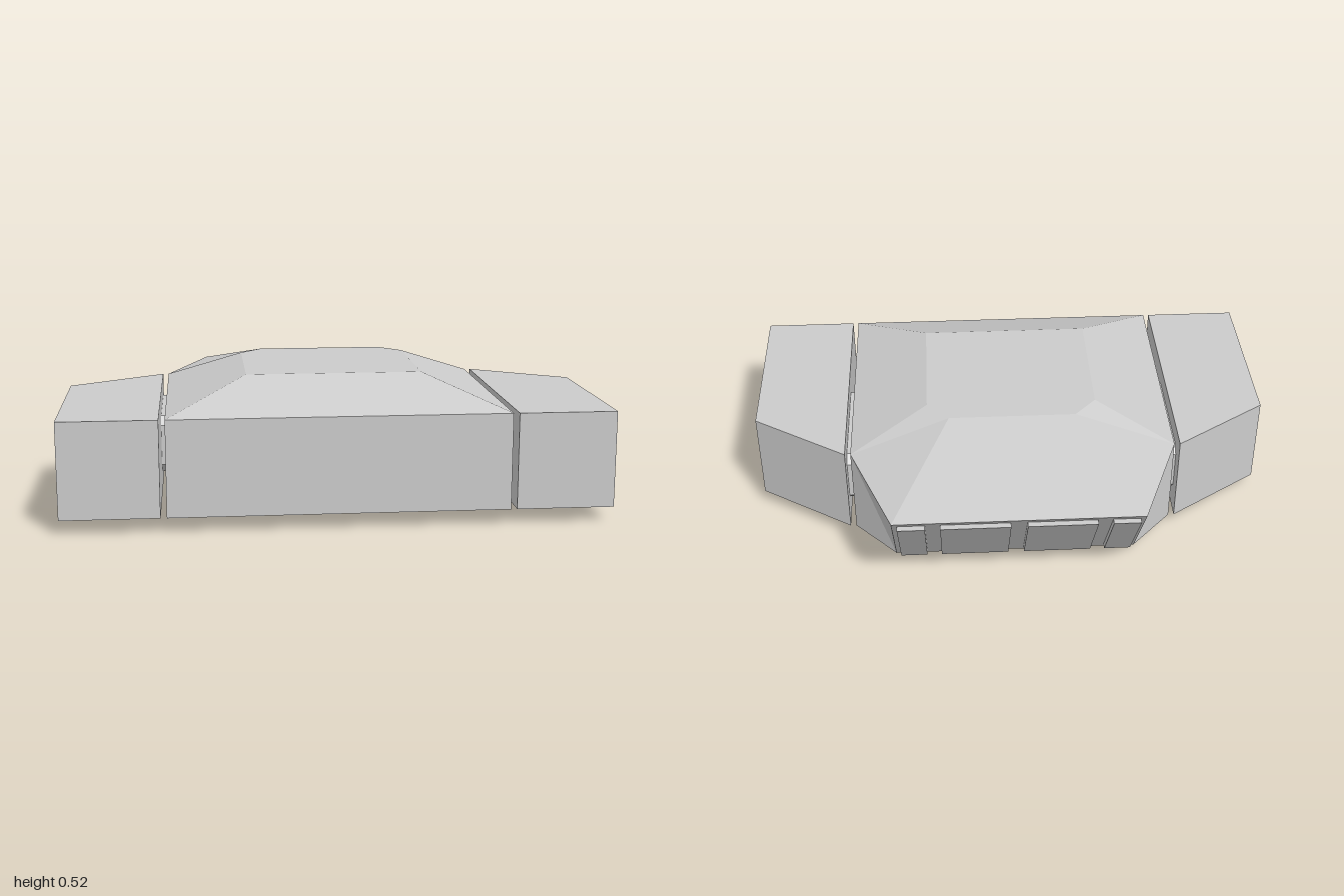
import * as THREE from 'three';

const material = new THREE.MeshStandardMaterial({ color: 0xcccccc, flatShading: true });

function addMesh(parent, name, geometry) {
  const mesh = new THREE.Mesh(geometry, material);
  mesh.name = name;
  parent.add(mesh);
  return mesh;
}

// Flat faceted solid from convex faces; each face is turned to point away from the centre
function solid(faces) {
  const centre = new THREE.Vector3();
  const all = faces.flat();
  all.forEach(p => centre.add(new THREE.Vector3(...p)));
  centre.divideScalar(all.length);
  const out = [];
  for (const face of faces) {
    const v = face.map(p => new THREE.Vector3(...p));
    for (let i = 1; i < v.length - 1; i++) {
      const tri = new THREE.Triangle(v[0], v[i], v[i + 1]);
      const outward = tri.getNormal(new THREE.Vector3()).dot(v[0].clone().sub(centre)) > 0;
      const order = outward ? [tri.a, tri.b, tri.c] : [tri.a, tri.c, tri.b];
      order.forEach(p => out.push(p.x, p.y, p.z));
    }
  }
  const g = new THREE.BufferGeometry();
  g.setAttribute('position', new THREE.Float32BufferAttribute(out, 3));
  g.computeVertexNormals();
  return g;
}

// Prism between two matching loops of corners
function prism(a, b) {
  const sides = a.map((p, i) => {
    const j = (i + 1) % a.length;
    return [p, a[j], b[j], b[i]];
  });
  return solid([a, b, ...sides]);
}

const LOW = 0.055, RIM = 0.41, ROOF = 0.52, FRONT = 0.675;

// Central body: vertical walls, undercut tail and faceted roof
function bodyGeometry() {
  const corners = s => ({
    frontLow: [s * 0.62, LOW, FRONT], frontRim: [s * 0.62, RIM, FRONT],
    sideLow: [s * 0.62, LOW, -0.25], sideRim: [s * 0.62, RIM, -0.25],
    tailLow: [s * 0.46, LOW, -0.42], tailRim: [s * 0.46, RIM, -0.667],
    roofFront: [s * 0.325, ROOF, 0.412], roofSide: [s * 0.325, ROOF, -0.095],
    roofBack: [s * 0.242, ROOF, -0.185],
  });
  const l = corners(1), r = corners(-1);
  const faces = [
    [l.frontLow, l.frontRim, r.frontRim, r.frontLow],
    [l.frontRim, l.roofFront, r.roofFront, r.frontRim],
    [l.roofFront, l.roofSide, l.roofBack, r.roofBack, r.roofSide, r.roofFront],
    [l.roofBack, l.tailRim, r.tailRim, r.roofBack],
    [l.tailRim, l.tailLow, r.tailLow, r.tailRim],
    [l.frontLow, l.sideLow, l.tailLow, r.tailLow, r.sideLow, r.frontLow],
  ];
  for (const c of [l, r]) {
    faces.push(
      [c.frontLow, c.sideLow, c.sideRim, c.frontRim],
      [c.sideRim, c.sideLow, c.tailLow],
      [c.sideRim, c.tailLow, c.tailRim],
      [c.frontRim, c.sideRim, c.roofSide, c.roofFront],
      [c.sideRim, c.roofBack, c.roofSide],
      [c.sideRim, c.tailRim, c.roofBack],
    );
  }
  return solid(faces);
}

export function createModel() {
  const model = new THREE.Group();
  model.name = 'hull';
  addMesh(model, 'centralBody', bodyGeometry());

  // Side pods and the bevelled connectors that join them to the body
  for (const [s, side] of [[1, 'left'], [-1, 'right']]) {
    const plan = y => [
      [s * 0.642, y, FRONT], [s, y, FRONT], [s, y, -0.015], [s * 0.642, y, -0.25],
    ];
    addMesh(model, side + 'Pod', prism(plan(LOW), plan(RIM)));

    const z0 = -0.185, z1 = 0.29, y0 = 0.125, y1 = 0.34, b = 0.032;
    const section = x => [
      [z0 + b, y0], [z1 - b, y0], [z1, y0 + b], [z1, y1 - b],
      [z1 - b, y1], [z0 + b, y1], [z0, y1 - b], [z0, y0 + b],
    ].map(([z, y]) => [s * x, y, z]);
    addMesh(model, side + 'Connector', prism(section(0.615), section(0.647)));
  }

  // Raised panels on the sloping tail
  const tailZ = y => -0.42 - 0.247 * (y - LOW) / (RIM - LOW);
  for (const [x0, x1] of [[-0.44, -0.34], [-0.285, -0.03], [0.03, 0.285], [0.34, 0.44]]) {
    const loop = x => [
      [x, 0.077, tailZ(0.077)], [x, 0.39, tailZ(0.39)],
      [x, 0.39, tailZ(0.39) - 0.025], [x, 0.077, tailZ(0.077) - 0.025],
    ];
    addMesh(model, 'tailPanel', prism(loop(x0), loop(x1)));
  }

  // Small belly fitting: tapered plate with two prongs
  const fitting = new THREE.Group();
  fitting.name = 'bellyFitting';
  model.add(fitting);
  const plate = (w, y, yBack) => [
    [-w, y, 0.125], [-w * 0.65, y, 0.14], [w * 0.65, y, 0.14],
    [w, y, 0.125], [w * 0.85, yBack, 0.082], [-w * 0.85, yBack, 0.082],
  ];
  addMesh(fitting, 'fittingPlate', prism(plate(0.077, 0.023, 0.023), plate(0.065, 0.035, 0.05)));
  for (const x of [-0.03, 0.028]) {
    addMesh(fitting, 'fittingProng', new THREE.BoxGeometry(0.024, 0.025, 0.06))
      .position.set(x, 0.0125, 0.11);
  }
  return model;
}
